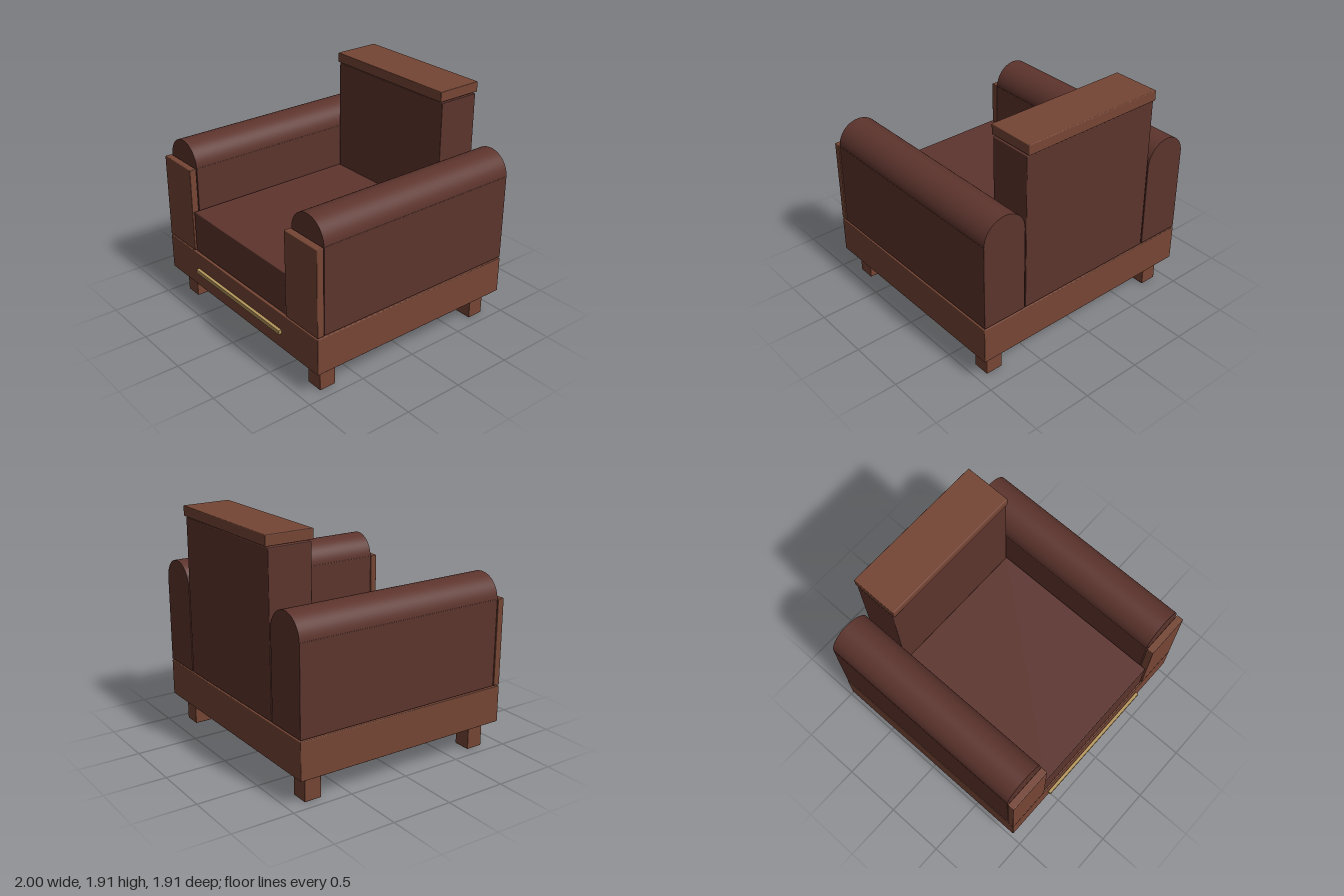
import * as THREE from 'three';
import { RoundedBoxGeometry } from 'three/addons/geometries/RoundedBoxGeometry.js';

export function createModel() {
  const model = new THREE.Group();
  model.name = 'armchair';

  const material = (name, color) => {
    const m = new THREE.MeshStandardMaterial({ color });
    m.name = name;
    return m;
  };
  const leather = material('brown leather', 0x5d342d);
  const wood = material('walnut wood', 0x754534);
  const brass = material('brass', 0xb8985c);

  // Softly bevelled block given by its limits on each axis
  const block = (name, mat, [x0, x1], [y0, y1], [z0, z1], bevel = 0.006) => {
    const geo = new RoundedBoxGeometry(x1 - x0, y1 - y0, z1 - z0, 2, bevel);
    const mesh = new THREE.Mesh(geo, mat);
    mesh.name = name;
    mesh.position.set((x0 + x1) / 2, (y0 + y1) / 2, (z0 + z1) / 2);
    model.add(mesh);
    return mesh;
  };

  // Base, seat and back
  block('base', wood, [-1, 1], [0.22, 0.525], [-0.936, 0.925]);
  block('seat', leather, [-0.613, 0.613], [0.535, 0.887], [-0.58, 0.915]);
  block('backrest', leather, [-0.613, 0.613], [0.535, 1.818], [-0.936, -0.58]);
  block('backCap', wood, [-0.613, 0.613], [1.829, 1.912], [-0.956, -0.563]);

  // Brass strip set just off the base front
  block('frontStrip', brass, [-0.572, 0.572], [0.356, 0.392], [0.928, 0.956], 0.004);

  for (const side of [1, -1]) {
    const label = side > 0 ? 'left' : 'right';
    const span = (a, b) => (side > 0 ? [a, b] : [-b, -a]);

    // Arm body with a half-round top
    block(label + 'Arm', leather, span(0.622, 0.996), [0.535, 1.246], [-0.936, 0.86], 0.003);
    const roll = new THREE.CylinderGeometry(0.185, 0.185, 1.796, 40, 1, false, Math.PI / 2, Math.PI);
    roll.rotateX(Math.PI / 2);
    const top = new THREE.Mesh(roll, leather);
    top.name = label + 'ArmRoll';
    top.position.set(side * 0.809, 1.244, -0.038);
    model.add(top);

    // Wooden panel on the arm front
    block(label + 'ArmPanel', wood, span(0.622, 1), [0.535, 1.247], [0.866, 0.925]);

    // Legs
    block(label + 'FrontLeg', wood, span(0.77, 0.915), [0, 0.218], [0.698, 0.84]);
    block(label + 'BackLeg', wood, span(0.77, 0.915), [0, 0.218], [-0.853, -0.711]);
  }
  return model;
}
